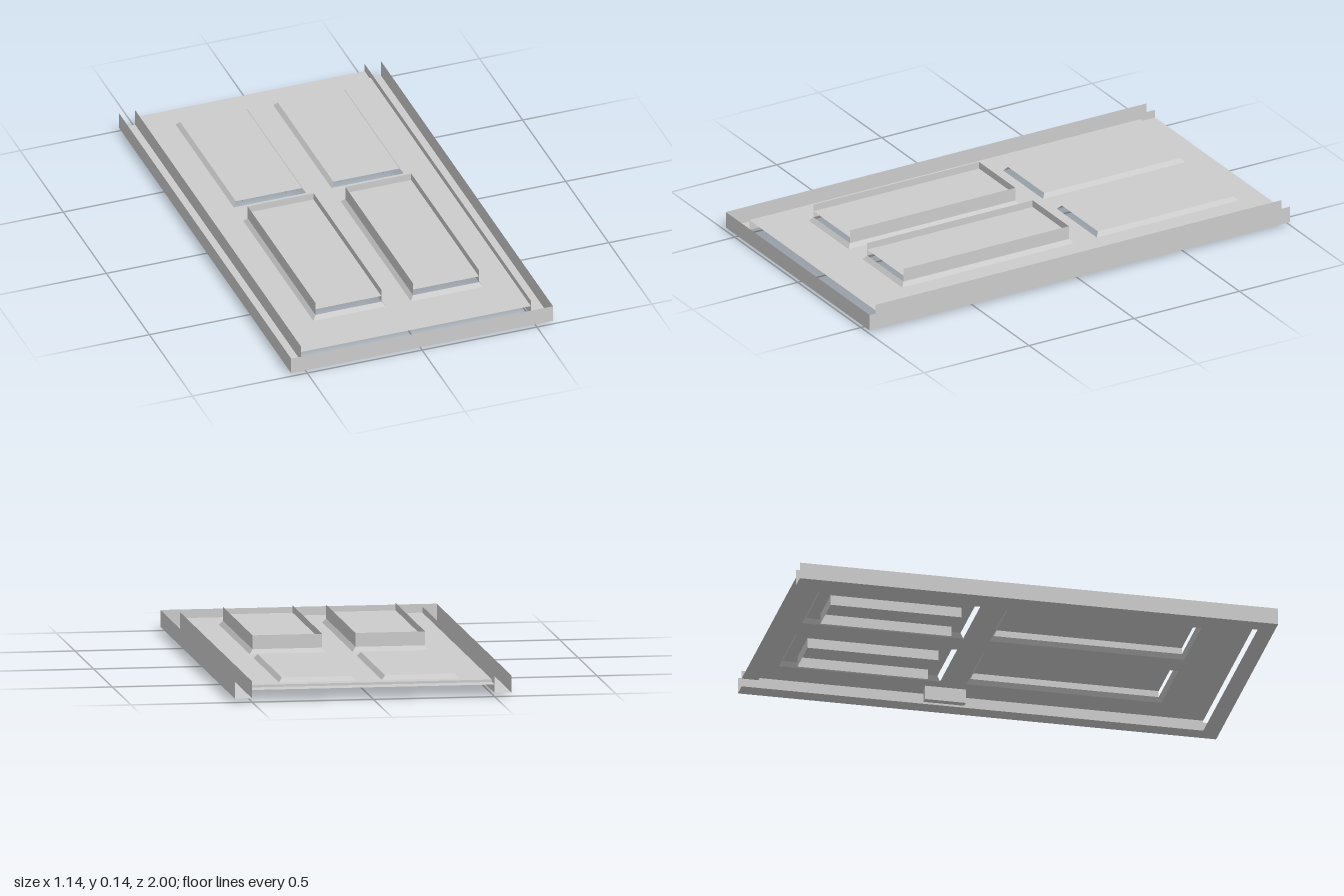
import * as THREE from 'three';

const material = new THREE.MeshStandardMaterial({ color: 0xcccccc, side: THREE.DoubleSide, flatShading: true });

const SLAB = 0.06, LOW = 0.015, RIM = 0.085;
const IN_X = 0.5, OUT_X = 0.57, IN_Z = 0.93;

export function createModel() {
  const model = new THREE.Group();

  function add(name, geometry, parent = model) {
    const mesh = new THREE.Mesh(geometry, material);
    mesh.name = name;
    parent.add(mesh);
    return mesh;
  }

  // thin four-cornered sheet
  function sheet(name, corners, parent) {
    const g = new THREE.BufferGeometry();
    g.setAttribute('position', new THREE.Float32BufferAttribute(corners.flat(), 3));
    g.setIndex([0, 1, 2, 0, 2, 3]);
    g.computeVertexNormals();
    return add(name, g.toNonIndexed(), parent);
  }
  const flat = (name, x0, x1, z0, z1, y, parent) =>
    sheet(name, [[x0, y, z0], [x0, y, z1], [x1, y, z1], [x1, y, z0]], parent);
  const wallX = (name, x, z0, z1, y0, y1, parent) =>
    sheet(name, [[x, y0, z0], [x, y0, z1], [x, y1, z1], [x, y1, z0]], parent);
  const wallZ = (name, z, x0, x1, y0, y1, parent) =>
    sheet(name, [[x0, y0, z], [x1, y0, z], [x1, y1, z], [x0, y1, z]], parent);

  // sloping border between an outer rectangle and an inset one; sides may be left open
  function bevel(name, x0, x1, z0, z1, inset, y0, y1, skipFront, parent) {
    const ring = (d, y) => [
      [x0 + d, y, z0 + d], [x0 + d, y, z1 - d], [x1 - d, y, z1 - d], [x1 - d, y, z0 + d],
    ];
    const a = ring(0, y0), b = ring(inset, y1);
    for (let i = 0; i < 4; i++) {
      if (skipFront && i === 1) continue;
      const j = (i + 1) % 4;
      sheet(name, [a[i], a[j], b[j], b[i]], parent);
    }
  }

  // door sheet with four panel openings
  const rect = (path, x0, x1, z0, z1) => {
    path.moveTo(x0, -z0);
    path.lineTo(x1, -z0);
    path.lineTo(x1, -z1);
    path.lineTo(x0, -z1);
    path.closePath();
    return path;
  };
  const rows = [
    { z0: -0.875, z1: -0.2, front: false },
    { z0: -0.09, z1: 0.725, front: true },
  ];
  const door = rect(new THREE.Shape(), -IN_X, IN_X, -IN_Z, IN_Z);
  for (const s of [-1, 1]) {
    for (const r of rows) {
      const x0 = s > 0 ? 0.055 : -0.37, x1 = s > 0 ? 0.37 : -0.055;
      door.holes.push(rect(new THREE.Path(), x0, x1, r.z0, r.z1));

      const panel = new THREE.Group();
      panel.name = r.front ? 'frontPanel' : 'backPanel';
      model.add(panel);
      const d = 0.014;
      const a = x0 + d, b = x1 - d, c = r.z0 + d, e = r.z1 - d;
      bevel('panelBevel', x0, x1, r.z0, r.z1, d, SLAB, 0.078, !r.front, panel);
      if (r.front) {
        // raised tray, open at its front end
        flat('panelFace', a, b, c, e, 0.105, panel);
        wallX('panelSide', a, c, e, 0.078, 0.135, panel);
        wallX('panelSide', b, c, e, 0.078, 0.135, panel);
        wallZ('panelEnd', c, a, b, 0.078, 0.135, panel);
      } else {
        // panel with a shallow rim on its underside
        flat('panelFace', a, b, c, e, 0.078, panel);
        const m = 0.05;
        wallX('undersideRim', a + m, c + m, e - m, 0.035, 0.078, panel);
        wallX('undersideRim', b - m, c + m, e - m, 0.035, 0.078, panel);
        wallZ('undersideRim', c + m, a + m, b - m, 0.035, 0.078, panel);
      }
    }
  }
  add('doorSheet', new THREE.ShapeGeometry(door).rotateX(-Math.PI / 2).translate(0, SLAB, 0));

  // rear ledge, one small step below the door sheet
  flat('rearLedge', -IN_X, IN_X, -1, -IN_Z, 0.05);
  wallZ('rearStep', -IN_Z, -IN_X, IN_X, 0.05, SLAB);

  // side channels of the frame
  for (const s of [-1, 1]) {
    wallX('frameOuterWall', s * OUT_X, -1, 1, LOW, RIM);
    wallX('frameInnerWall', s * IN_X, -1, IN_Z, LOW, RIM);
    flat('frameFlange', Math.min(s * IN_X, s * OUT_X), Math.max(s * IN_X, s * OUT_X), -1, 1, LOW);
  }

  // front rail of the frame
  wallZ('frontRailWall', 1, -OUT_X, OUT_X, LOW, RIM);
  flat('frontRailFlange', -IN_X, IN_X, IN_Z, 1, LOW);

  // handle on the underside
  add('handle', new THREE.BoxGeometry(0.028, SLAB, 0.17).translate(0.436, SLAB / 2, -0.165));

  return model;
}
